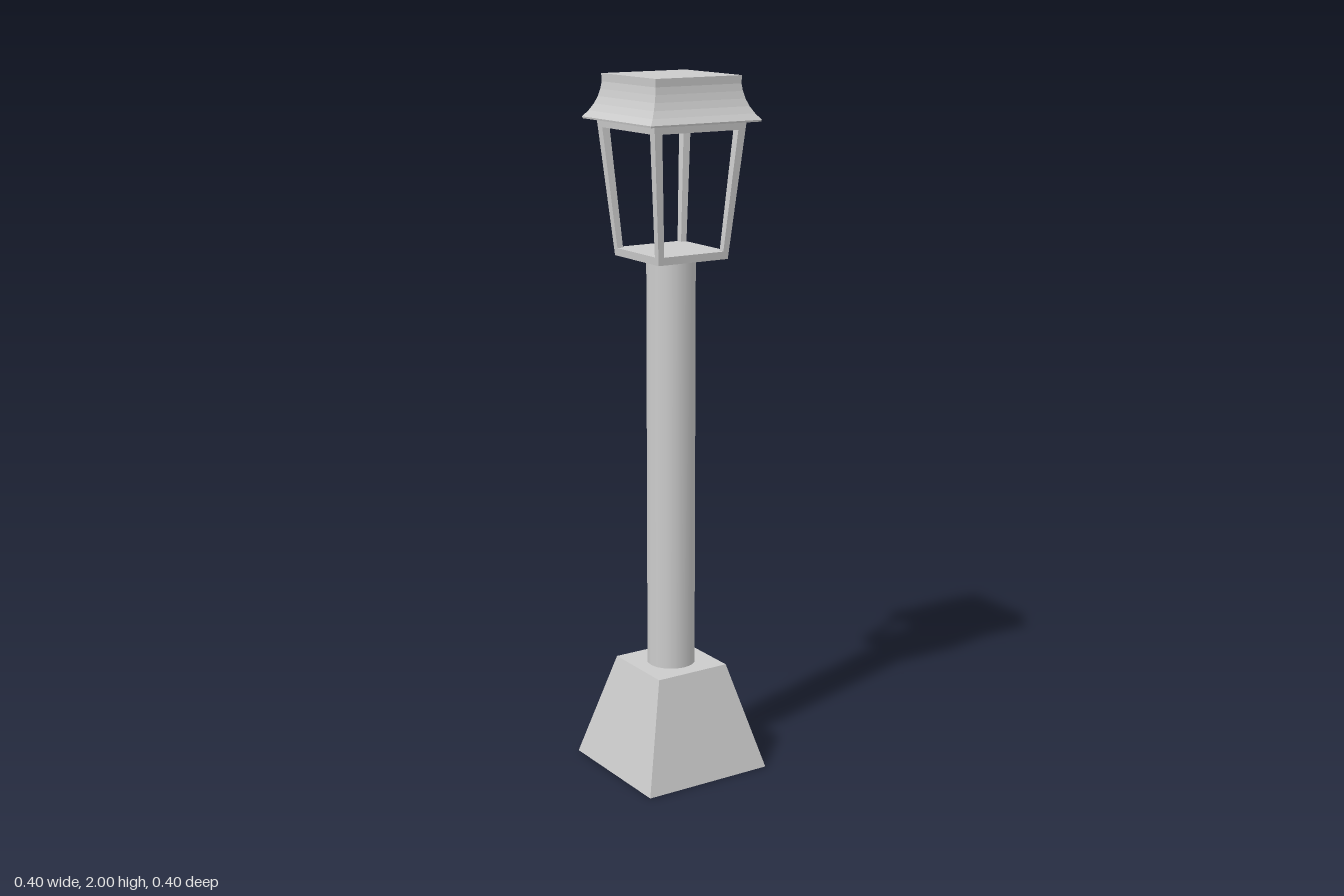
import * as THREE from 'three';

const grey = new THREE.MeshStandardMaterial({ color: 0xcccccc });
const flatGrey = new THREE.MeshStandardMaterial({ color: 0xcccccc, flatShading: true });

function addMesh(parent, name, geometry, material) {
  const mesh = new THREE.Mesh(geometry, material);
  mesh.name = name;
  parent.add(mesh);
  return mesh;
}

// Square solid following a profile of [half width, height] pairs, bottom to top
function squareSolid(profile) {
  const first = profile[0], last = profile[profile.length - 1];
  const points = [[0, first[1]], ...profile, [0, last[1]]]
    .map(([half, y]) => new THREE.Vector2(half * Math.SQRT2, y));
  const geometry = new THREE.LatheGeometry(points, 4, Math.PI / 4).toNonIndexed();
  geometry.computeVertexNormals();
  return geometry;
}

// Lantern frame: outer and inner half widths at the bottom and top
const frame = { y0: 1.5, y1: 1.88, out0: 0.113, out1: 0.148, in0: 0.095, in1: 0.124 };

function outerAt(y) {
  const t = (y - frame.y0) / (frame.y1 - frame.y0);
  return THREE.MathUtils.lerp(frame.out0, frame.out1, t);
}

// Leaning, tapered corner post, shaped from a unit box
function cornerPost() {
  const geometry = new THREE.BoxGeometry(1, 1, 1);
  const p = geometry.attributes.position;
  for (let i = 0; i < p.count; i++) {
    const top = p.getY(i) > 0;
    const outer = top ? frame.out1 : frame.out0;
    const inner = top ? frame.in1 : frame.in0;
    p.setXYZ(i, p.getX(i) > 0 ? outer : inner, top ? frame.y1 : frame.y0,
      p.getZ(i) > 0 ? outer : inner);
  }
  const flat = geometry.toNonIndexed();
  flat.computeVertexNormals();
  return flat;
}

export function createModel() {
  const model = new THREE.Group();
  model.name = 'lampPost';

  // Tapered foot and round pole
  addMesh(model, 'base', squareSolid([[0.2, 0], [0.115, 0.31]]), flatGrey);
  const pole = new THREE.CylinderGeometry(0.07, 0.07, 1.2, 16);
  addMesh(model, 'pole', pole, grey).position.y = 0.905;

  // Open lantern: floor, four posts and top rail
  const lantern = new THREE.Group();
  lantern.name = 'lantern';
  model.add(lantern);
  addMesh(lantern, 'lanternFloor',
    squareSolid([[outerAt(1.5), 1.5], [outerAt(1.522), 1.522]]), flatGrey);
  const post = cornerPost();
  for (let i = 0; i < 4; i++) {
    addMesh(lantern, 'cornerPost', post, flatGrey).rotation.y = i * Math.PI / 2;
  }
  addMesh(lantern, 'topRail',
    squareSolid([[outerAt(1.855), 1.855], [outerAt(1.88), 1.88]]), flatGrey);

  // Flared roof with a concave sweep and a flat top
  addMesh(model, 'roof', squareSolid([
    [0.176, 1.877], [0.177, 1.882], [0.164, 1.899], [0.153, 1.918],
    [0.145, 1.938], [0.14, 1.958], [0.137, 1.978], [0.138, 2],
  ]), flatGrey);

  return model;
}
